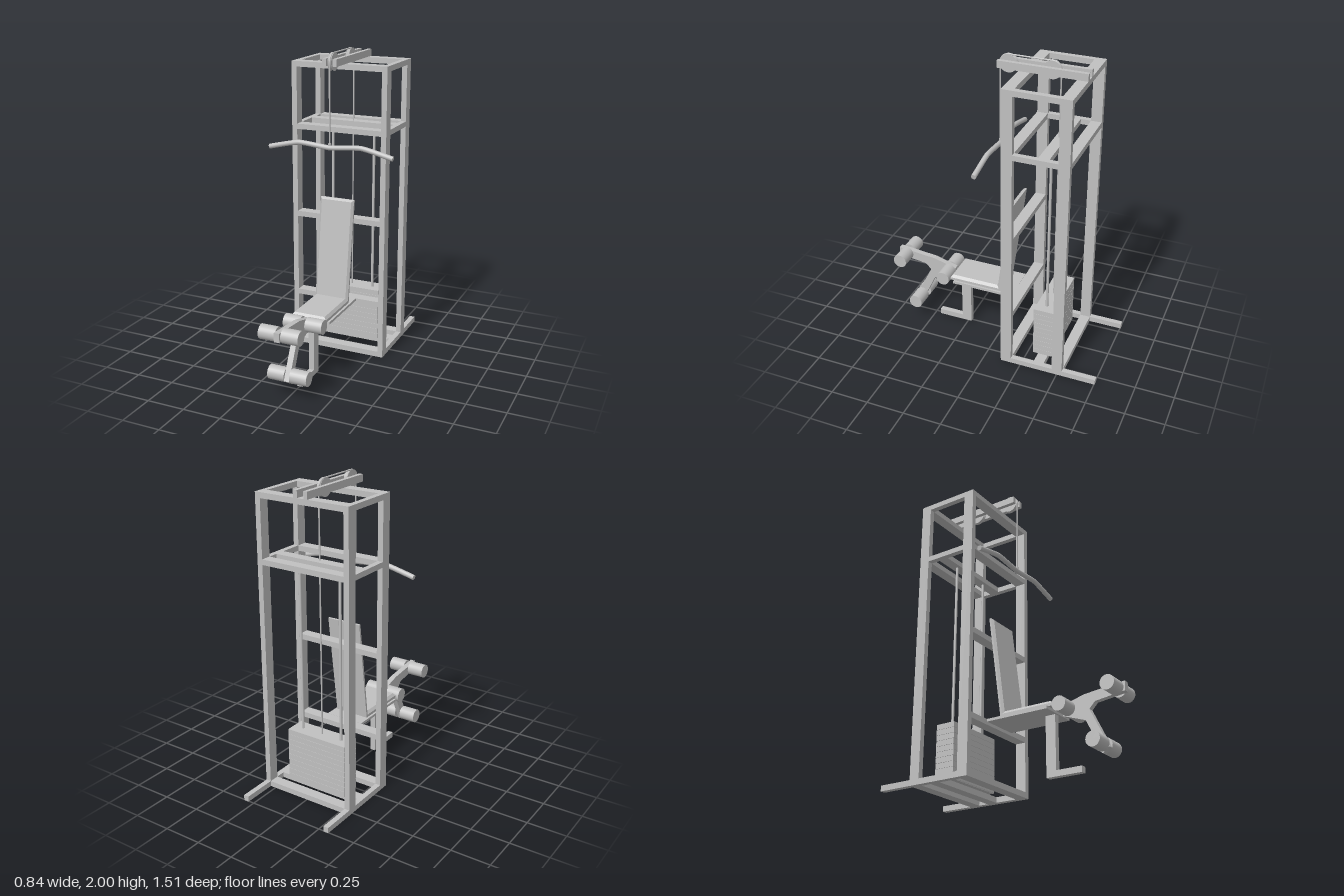
import * as THREE from 'three';
import { toCreasedNormals } from 'three/addons/utils/BufferGeometryUtils.js';

export function createModel() {
  const model = new THREE.Group();
  const grey = new THREE.MeshStandardMaterial({ color: 0xc0c0c0 });
  grey.name = 'plain grey';

  const add = (name, geo, x = 0, y = 0, z = 0) => {
    const mesh = new THREE.Mesh(geo, grey);
    mesh.name = name;
    mesh.position.set(x, y, z);
    model.add(mesh);
    return mesh;
  };
  // box given by its minimum and maximum on each axis
  const box = (name, x0, x1, y0, y1, z0, z1) =>
    add(name, new THREE.BoxGeometry(x1 - x0, y1 - y0, z1 - z0), (x0 + x1) / 2, (y0 + y1) / 2, (z0 + z1) / 2);
  // cylinder lying along x
  const rollX = (name, r, x0, x1, y, z) =>
    add(name, new THREE.CylinderGeometry(r, r, x1 - x0, 24).rotateZ(Math.PI / 2), (x0 + x1) / 2, y, z);

  // frame
  const OUT = 0.322, IN = 0.287;
  const front = [-0.185, -0.115], middle = [-0.4, -0.333], rear = [-0.533, -0.465];
  for (const s of [-1, 1]) {
    const side = (name, y0, y1, z0, z1) => box(name, Math.min(s * IN, s * OUT), Math.max(s * IN, s * OUT), y0, y1, z0, z1);
    side('frontPost', 0, 1.92, ...front);
    side('rearPost', 0, 1.92, ...rear);
    side('topSideRail', 1.885, 1.92, rear[1], front[0]);
    side('upperSideRail', 1.488, 1.522, rear[1], front[0]);
    side('bottomSideRail', 0, 0.036, rear[1], front[0]);
    side('rearFoot', 0, 0.036, -0.755, rear[0]);
  }
  const cross = (name, y0, y1, z) => box(name, -IN, IN, y0, y1, ...z);
  for (const z of [front, rear]) cross('topCrossRail', 1.885, 1.92, z);
  for (const z of [front, middle, rear]) {
    cross('upperCrossRail', 1.488, 1.522, z);
    cross('bottomCrossRail', 0, 0.036, z);
  }
  cross('backrestCrossRail', 0.905, 0.94, front);
  cross('seatCrossRail', 0.355, 0.39, front);

  // weight stack and guide rods
  for (let i = 0; i < 10; i++) {
    const y = 0.04 + i * 0.035;
    box('weightPlate', -0.213, 0.213, y, y + 0.0335, -0.43, -0.298);
  }
  box('stackCore', -0.209, 0.209, 0.036, 0.388, -0.426, -0.302);
  for (const s of [-1, 1])
    add('guideRod', new THREE.CylinderGeometry(0.009, 0.009, 1.46, 12), s * 0.145, 0.766, -0.363);

  // pulley beams and grooved pulleys
  for (const x of [-0.048, 0.022]) box('pulleyBeam', x, x + 0.026, 1.92, 1.965, -0.533, 0.02);
  const PY = 1.942, PR = 0.053, Z1 = -0.037, Z2 = -0.306;
  const profile = [[0, -0.012], [0.056, -0.012], [0.048, 0], [0.056, 0.012], [0, 0.012]]
    .map(([r, y]) => new THREE.Vector2(r, y));
  for (const z of [Z1, Z2]) {
    const wheel = toCreasedNormals(new THREE.LatheGeometry(profile, 32), 0.5).rotateZ(Math.PI / 2);
    add('pulley', wheel, 0, PY, z);
    rollX('pulleyAxle', 0.009, -0.03, 0.03, PY, z);
  }

  // cable from the bar, over both pulleys, down to the stack
  const pts = [new THREE.Vector3(0, 1.42, Z1 + PR)];
  for (const [z, a0] of [[Z1, 0], [Z2, Math.PI / 2]])
    for (let i = 0; i <= 8; i++) {
      const a = a0 + (i / 8) * Math.PI / 2;
      pts.push(new THREE.Vector3(0, PY + PR * Math.sin(a), z + PR * Math.cos(a)));
    }
  pts.push(new THREE.Vector3(0, 0.38, Z2 - PR));
  const path = new THREE.CurvePath();
  for (let i = 1; i < pts.length; i++) path.add(new THREE.LineCurve3(pts[i - 1], pts[i]));
  add('cable', new THREE.TubeGeometry(path, 260, 0.005, 8));

  // pull-down bar
  const BZ = 0.014;
  const barCurve = new THREE.CatmullRomCurve3(
    [[-0.417, 1.39], [-0.21, 1.435], [0, 1.419], [0.21, 1.435], [0.417, 1.39]]
      .map(([x, y]) => new THREE.Vector3(x, y, BZ)), false, 'catmullrom', 0.25);
  add('pullBar', new THREE.TubeGeometry(barCurve, 48, 0.016, 16));
  for (const s of [-1, 1])
    add('pullBarEnd', new THREE.CircleGeometry(0.016, 16).rotateY(s * Math.PI / 2).rotateZ(-s * 0.21), s * 0.417, 1.39, BZ);
  add('barClip', new THREE.CylinderGeometry(0.01, 0.01, 0.04, 12), 0, 1.427, BZ);

  // padded board with chamfered upper edges
  const pad = (name, w, t, l, inset) => {
    const geo = new THREE.BoxGeometry(w, t, l, 1, 2, 1);
    const p = geo.attributes.position;
    for (let i = 0; i < p.count; i++)
      if (p.getY(i) > t * 0.4) {
        p.setX(i, p.getX(i) - Math.sign(p.getX(i)) * inset);
        p.setZ(i, p.getZ(i) - Math.sign(p.getZ(i)) * inset);
      }
    const flat = geo.toNonIndexed();
    flat.computeVertexNormals();
    return add(name, flat);
  };
  pad('seatCushion', 0.232, 0.035, 0.345, 0.014).position.set(0, 0.408, 0.156);
  const back = pad('backrest', 0.232, 0.026, 0.68, 0.014);
  back.position.set(0, 0.727, -0.06);
  back.rotation.x = 1.438;

  // seat support
  box('seatPlate', -0.13, 0.13, 0.374, 0.391, -0.115, 0.305);
  box('seatLeg', -0.018, 0.018, 0, 0.374, 0.227, 0.293);
  box('seatFoot', -0.018, 0.018, 0, 0.037, 0.293, 0.462);

  // leg lever, outlined in z and y
  const lever = new THREE.Shape([
    [0.755, 0.483], [0.49, 0.456], [0.338, 0.414], [0.348, 0.35], [0.496, 0.297],
    [0.597, 0.085], [0.64, 0.117], [0.522, 0.36], [0.56, 0.4], [0.755, 0.424],
  ].map(([z, y]) => new THREE.Vector2(z, y)));
  add('legLever', new THREE.ExtrudeGeometry(lever, { depth: 0.036, bevelEnabled: false })
    .translate(0, 0, -0.018).rotateY(-Math.PI / 2));
  for (const [y, z] of [[0.39, 0.383], [0.45, 0.699], [0.14, 0.596]]) {
    rollX('foamRoller', 0.046, 0.018, 0.13, y, z);
    rollX('foamRoller', 0.046, -0.13, -0.018, y, z);
  }
  return model;
}
